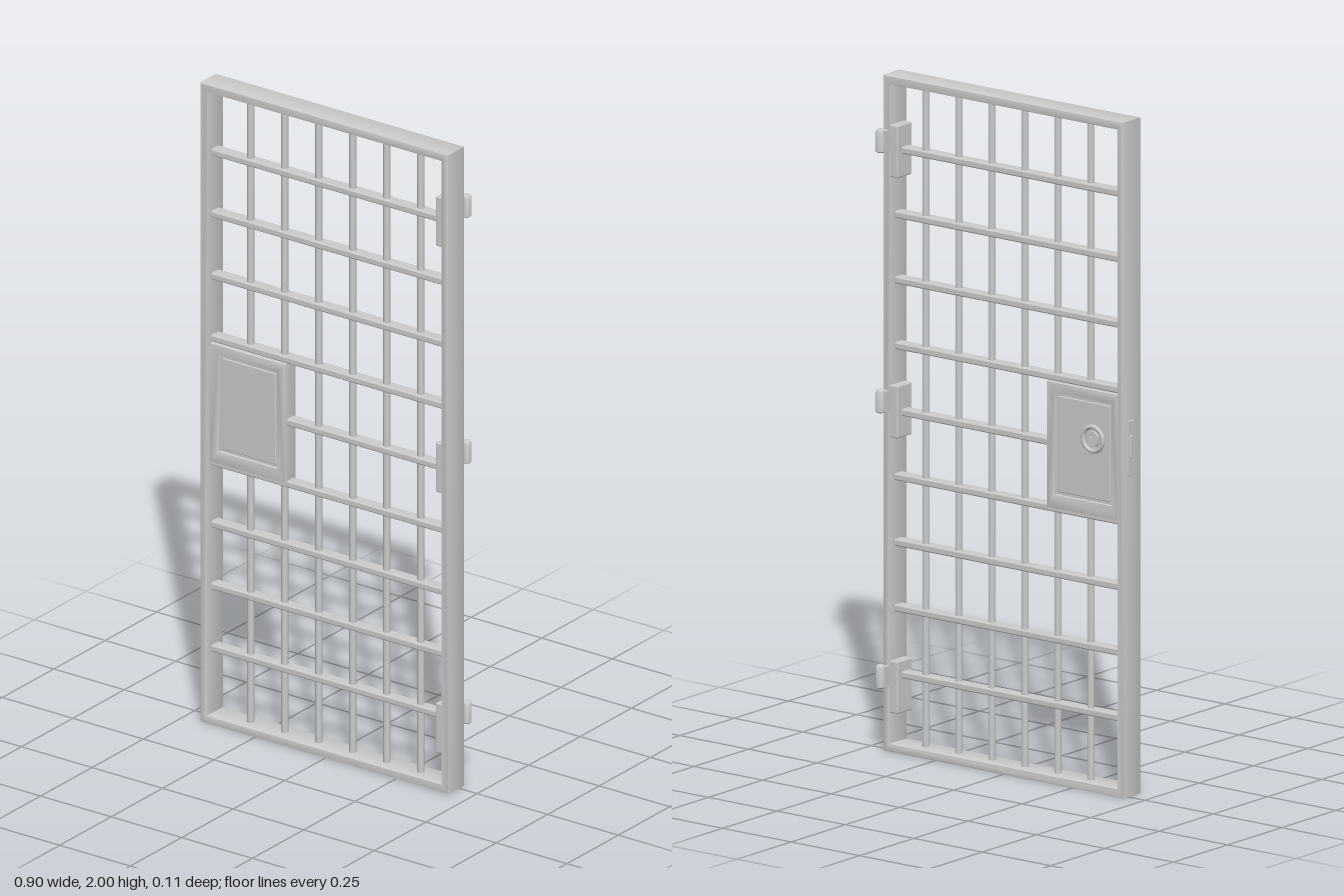
import * as THREE from 'three';
import { RoundedBoxGeometry } from 'three/addons/geometries/RoundedBoxGeometry.js';
import { toCreasedNormals } from 'three/addons/utils/BufferGeometryUtils.js';

const material = new THREE.MeshStandardMaterial({ color: 0xcccccc });

function add(parent, name, geometry, x = 0, y = 0, z = 0) {
  const mesh = new THREE.Mesh(geometry, material);
  mesh.name = name;
  mesh.position.set(x, y, z);
  parent.add(mesh);
  return mesh;
}

function rect(Type, x0, y0, x1, y1) {
  return new Type([[x0, y0], [x1, y0], [x1, y1], [x0, y1]].map(([x, y]) => new THREE.Vector2(x, y)));
}

// Rectangular ring with bevelled edges, spanning z0 to z1; sizes include the bevel
function ring(outer, inner, z0, z1, bevel) {
  const [a, b, c, d] = outer, [e, f, g, h] = inner;
  const shape = rect(THREE.Shape, a + bevel, b + bevel, c - bevel, d - bevel);
  shape.holes.push(rect(THREE.Path, e - bevel, f - bevel, g + bevel, h + bevel));
  const geometry = new THREE.ExtrudeGeometry(shape, {
    depth: z1 - z0 - 2 * bevel, bevelSize: bevel, bevelThickness: bevel, bevelSegments: 2,
  });
  return toCreasedNormals(geometry.translate(0, 0, z0 + bevel), 0.6);
}

function createHinge(y) {
  const hinge = new THREE.Group();
  hinge.name = 'hinge';
  hinge.position.y = y;
  add(hinge, 'hingePlate', new RoundedBoxGeometry(0.04, 0.155, 0.068, 2, 0.004), 0.405, 0, 0.011);
  // Arm linking the plate to the pin barrel
  add(hinge, 'hingeArm', new THREE.BoxGeometry(0.022, 0.06, 0.026), 0.424, 0.032, -0.029);
  const r = 0.014;
  const profile = [[0, -0.035], [r - 0.003, -0.035], [r, -0.032], [r, 0.025], [0.011, 0.032], [0.006, 0.035], [0, 0.036]]
    .map(([x, h]) => new THREE.Vector2(x, h));
  add(hinge, 'hingeBarrel', toCreasedNormals(new THREE.LatheGeometry(profile, 16), 0.7), 0.433, 0.032, -0.041);
  return hinge;
}

function createLock() {
  const lock = new THREE.Group();
  lock.name = 'lockBox';
  add(lock, 'lockCasing', ring([-0.417, 0.815, -0.15, 1.187], [-0.385, 0.855, -0.18, 1.155], -0.012, 0.042, 0.004));
  // Inset panel with a stepped border on both faces
  add(lock, 'lockPanel', new THREE.BoxGeometry(0.21, 0.305, 0.036), -0.2825, 1.005, 0.015);
  add(lock, 'lockPanelStep', new RoundedBoxGeometry(0.19, 0.285, 0.042, 2, 0.003), -0.2825, 1.005, 0.015);

  // Keyhole rosette on the back
  const rosette = new THREE.Group();
  rosette.name = 'keyholeRosette';
  rosette.position.set(-0.315, 1.04, -0.006);
  rosette.rotation.y = Math.PI;
  lock.add(rosette);
  add(rosette, 'rosetteRim', new THREE.TorusGeometry(0.036, 0.007, 8, 32));
  const disc = new THREE.Shape().absarc(0, 0, 0.024, 0, Math.PI * 2);
  const slot = new THREE.Path();
  slot.moveTo(-0.004, -0.016);
  slot.lineTo(0.004, -0.016);
  slot.lineTo(0.004, 0.003);
  slot.absarc(0, 0.008, 0.0065, -0.9, Math.PI + 0.9, false);
  slot.lineTo(-0.004, -0.016);
  disc.holes.push(slot);
  const face = new THREE.ExtrudeGeometry(disc, { depth: 0.007, bevelEnabled: false, curveSegments: 16 });
  add(rosette, 'keyholeFace', toCreasedNormals(face, 0.6), 0, 0, -0.001);
  return lock;
}

export function createModel() {
  const door = new THREE.Group();
  door.name = 'barredDoor';
  add(door, 'frame', ring([-0.442, 0, 0.437, 2], [-0.417, 0.025, 0.412, 1.975], -0.025, 0.055, 0.004));

  // Flat rails, with the middle one stopping at the lock box
  for (let i = 0; i < 9; i++) {
    const left = i === 4 ? -0.16 : -0.425;
    const rail = new RoundedBoxGeometry(0.415 - left, 0.021, 0.036, 2, 0.005);
    add(door, 'rail', rail, (0.415 + left) / 2, 0.228 + i * 0.194, 0.015);
  }

  // Upright bars, the left two split around the lock box
  for (let i = 0; i < 6; i++) {
    const spans = i < 2 ? [[0.02, 0.83], [1.17, 1.98]] : [[0.02, 1.98]];
    for (const [y0, y1] of spans) {
      add(door, 'uprightBar', new THREE.CylinderGeometry(0.0105, 0.0105, y1 - y0, 12, 1, true),
        -0.291 + i * 0.1205, (y0 + y1) / 2, 0.015);
    }
  }

  door.add(createLock());
  for (const y of [0.193, 1.008, 1.778]) door.add(createHinge(y));

  // Latch plate and bolt on the free edge
  add(door, 'latchPlate', new RoundedBoxGeometry(0.008, 0.165, 0.026, 2, 0.002), -0.441, 1.032, 0.005);
  add(door, 'latchBolt', new RoundedBoxGeometry(0.02, 0.07, 0.012, 2, 0.003), -0.439, 1.035, 0.005);
  return door;
}
